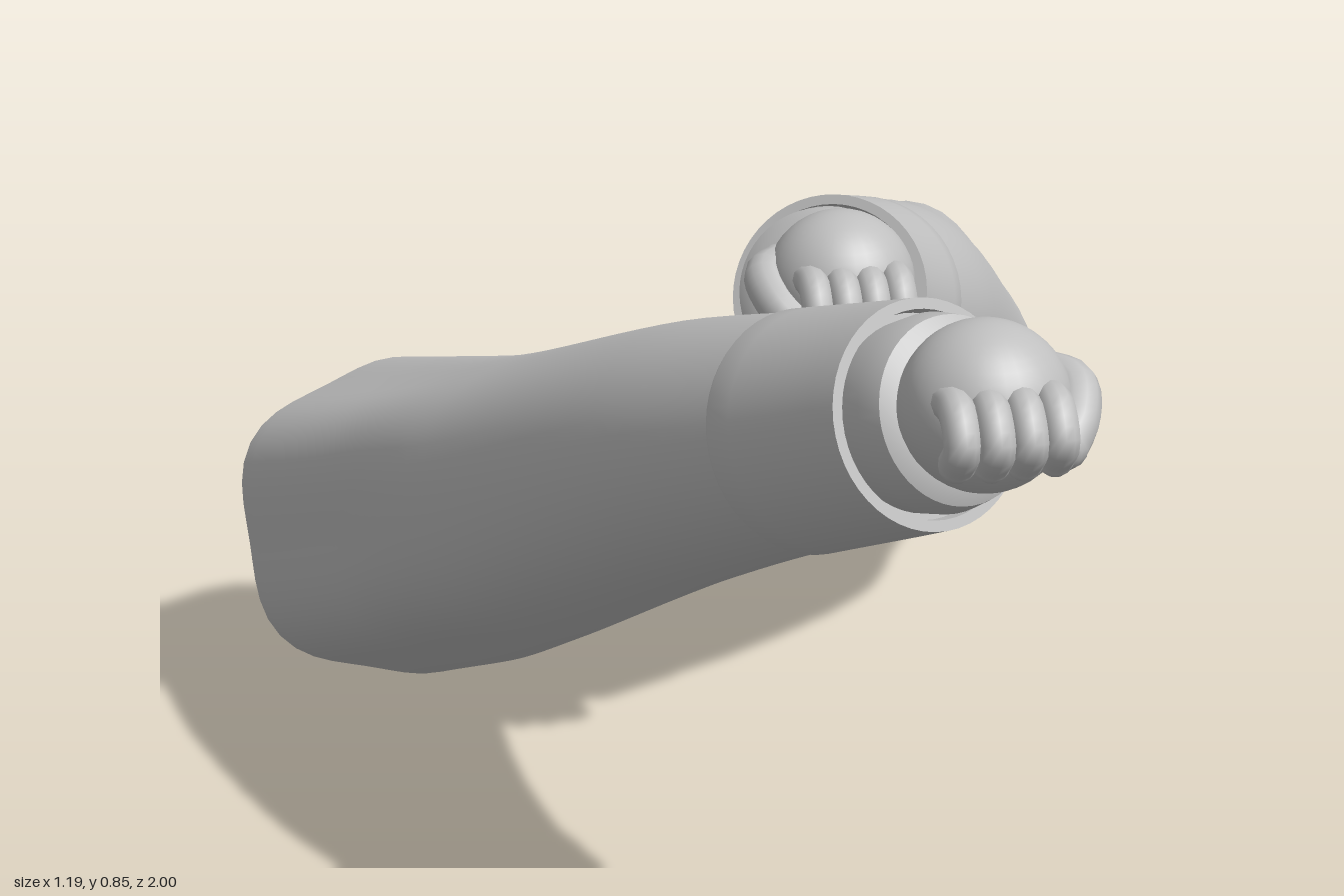
import * as THREE from 'three';

const grey = new THREE.MeshStandardMaterial({ color: 0xbfbfbf });
grey.name = 'plain grey';
const SIDES = 50;
const V = (x, y, z) => new THREE.Vector3(x, y, z);

// Skin rings along an axis; each ring is { c: centre, t: direction, r: radius, k: five-sidedness }
function loft(rings) {
  const pos = [], index = [];
  for (const { c, t, r, k = 0 } of rings) {
    const right = V(0, 1, 0).cross(t).normalize();
    const up = t.clone().cross(right);
    for (let j = 0; j < SIDES; j++) {
      const a = (j / SIDES) * Math.PI * 2;
      const d = r * (1 + k * Math.cos(5 * a));
      const p = c.clone().addScaledVector(right, d * Math.cos(a)).addScaledVector(up, d * Math.sin(a));
      pos.push(p.x, p.y, p.z);
    }
  }
  for (let i = 0; i < rings.length - 1; i++) {
    for (let j = 0; j < SIDES; j++) {
      const a = i * SIDES + j, b = i * SIDES + (j + 1) % SIDES;
      index.push(a, b, b + SIDES, a, b + SIDES, a + SIDES);
    }
  }
  const g = new THREE.BufferGeometry();
  g.setAttribute('position', new THREE.Float32BufferAttribute(pos, 3));
  g.setIndex(index);
  g.computeVertexNormals();
  return g;
}

function add(group, name, geometry) {
  const m = new THREE.Mesh(geometry, grey);
  m.name = name;
  group.add(m);
  return m;
}

// Round-ended bent tube for fingers and thumb
function addDigit(group, name, points, r) {
  add(group, name, new THREE.TubeGeometry(new THREE.CatmullRomCurve3(points), 12, r, 12));
  for (const p of [points[0], points[points.length - 1]]) {
    add(group, name + 'Tip', new THREE.SphereGeometry(r, 12, 8)).position.copy(p);
  }
}

// Closed fist facing +z; side = +1 puts the thumb on +x
function makeFist(side) {
  const fist = new THREE.Group();
  fist.name = 'fist';
  add(fist, 'palm', new THREE.SphereGeometry(0.09, 32, 24));
  for (let i = 0; i < 4; i++) {
    const x = side * (-0.051 + i * 0.034);
    const z = i === 0 || i === 3 ? -0.002 : 0.004;
    addDigit(fist, 'finger', [V(x, 0.022, 0.05 + z), V(x, 0.02, 0.085 + z),
      V(x, -0.01, 0.106 + z), V(x, -0.033, 0.085 + z)], 0.0195);
  }
  addDigit(fist, 'thumb', [V(side * 0.07, 0.02, -0.025), V(side * 0.092, 0.015, 0.0),
    V(side * 0.085, -0.01, 0.035), V(side * 0.068, -0.03, 0.055)], 0.026);
  return fist;
}

function makeArm(name, centres, radii, hand, thumbSide) {
  const arm = new THREE.Group();
  arm.name = name;
  const curve = new THREE.CatmullRomCurve3(centres);
  // u runs 0..1 from shoulder to wrist, one equal step per centre
  const ring = (u, grow = 0) => {
    const s = Math.min(u * (radii.length - 1), radii.length - 1.0001);
    const i = Math.floor(s);
    return {
      c: curve.getPoint(u), t: curve.getTangent(u),
      r: THREE.MathUtils.lerp(radii[i], radii[i + 1], s - i) + grow,
      k: 0.048 * (1 - THREE.MathUtils.smoothstep(u, 0.2, 0.85)),
    };
  };

  // Sleeve with its flat rear face
  const rings = [];
  for (let i = 0; i <= 36; i++) rings.push(ring(i / 36 * 0.95));
  add(arm, 'sleeve', loft(rings));
  add(arm, 'sleeveEnd', loft([{ ...rings[0], r: 0 }, rings[0]]));

  // Slightly raised cuff with a recessed opening
  const cuff = [ring(0.86, -0.003)];
  for (let i = 0; i <= 6; i++) cuff.push(ring(0.868 + 0.022 * i, 0.004 + 0.001 * i));
  const rim = cuff[7];
  const shifted = (d, r) => ({ c: rim.c.clone().addScaledVector(rim.t, d), t: rim.t, r });
  add(arm, 'cuff', loft(cuff));
  add(arm, 'cuffRim', loft([rim, shifted(0, rim.r - 0.012)]));
  add(arm, 'cuffInside', loft([shifted(0, rim.r - 0.012), shifted(-0.02, rim.r - 0.014)]));
  add(arm, 'cuffFloor', loft([shifted(-0.02, rim.r - 0.014), shifted(-0.02, 0)]));

  // Glove band filling the space between cuff and fist
  add(arm, 'gloveBand', loft([shifted(-0.02, 0.102), shifted(0.02, 0.106), shifted(0.05, 0.1)]));
  add(arm, 'gloveBandFront', loft([shifted(0.05, 0.1), shifted(0.065, 0.075), shifted(0.07, 0)]));

  const fist = makeFist(thumbSide);
  fist.position.copy(hand);
  arm.add(fist);
  return arm;
}

export function createModel() {
  const model = new THREE.Group();
  model.name = 'pairOfArms';
  model.add(makeArm('rightArm',
    [V(-0.4, 0.187, -0.5), V(-0.335, 0.277, -0.25), V(-0.283, 0.376, 0), V(-0.148, 0.56, 0.4),
      V(0.008, 0.7, 0.755)],
    [0.208, 0.192, 0.174, 0.146, 0.113], V(0.035, 0.745, 0.872), 1));
  model.add(makeArm('leftArm',
    [V(0.376, 0.246, -0.93), V(0.339, 0.296, -0.74), V(0.306, 0.346, -0.55), V(0.194, 0.514, -0.22),
      V(0.088, 0.6, -0.035)],
    [0.208, 0.196, 0.181, 0.148, 0.113], V(0.08, 0.64, 0.055), -1));
  return model;
}
